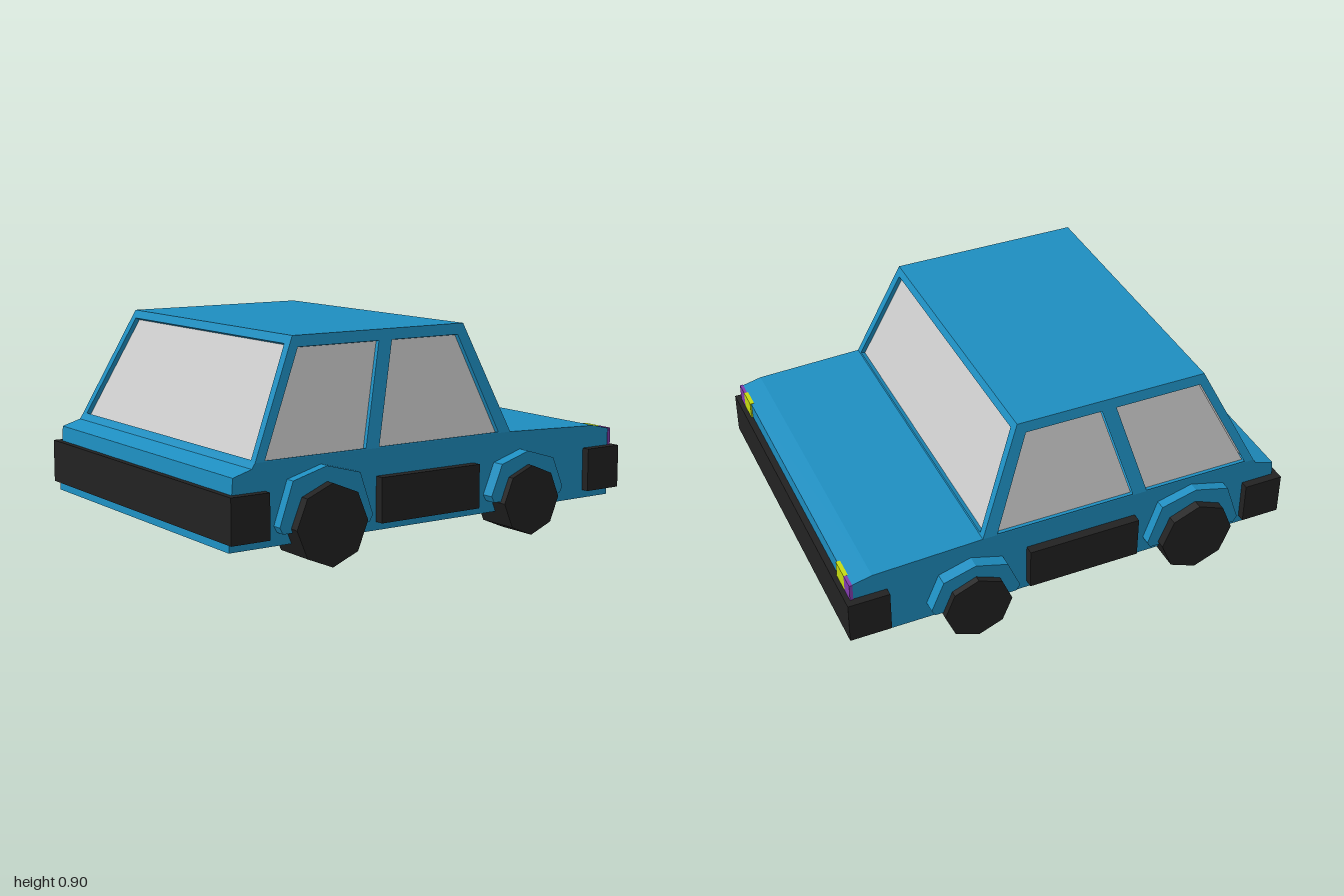
import * as THREE from 'three';

const mat = (color) => new THREE.MeshStandardMaterial({ color, flatShading: true });
const paint = mat(0x1e8ec0), rubber = mat(0x222222), glass = mat(0xcccccc);
const yellow = mat(0xc4dc12), purple = mat(0x823cae);
const BELT = 0.44, ROOF = 0.905;

const toShape = (pts) => new THREE.Shape(pts.map(([x, y]) => new THREE.Vector2(x, y)));

function add(parent, name, geometry, material) {
  const mesh = new THREE.Mesh(geometry, material);
  mesh.name = name;
  parent.add(mesh);
  return mesh;
}

// Box given by its limits
function box(parent, name, material, [x0, x1], [y0, y1], [z0, z1]) {
  const g = new THREE.BoxGeometry(x1 - x0, y1 - y0, z1 - z0);
  g.translate((x0 + x1) / 2, (y0 + y1) / 2, (z0 + z1) / 2);
  return add(parent, name, g, material);
}

// Extrusion along z between two depths
function slab(pts, z0, z1, holes = []) {
  const shape = toShape(pts);
  shape.holes = holes.map((h) => new THREE.Path(toShape(h).getPoints()));
  const g = new THREE.ExtrudeGeometry(shape, { depth: z1 - z0, bevelEnabled: false });
  return g.translate(0, 0, z0);
}

// Leaning cabin wall with window openings and recessed panes
function cabinWall(parent, name, outline, windows, distance, topDistance, angle) {
  const lean = (distance - topDistance) / (ROOF - BELT);
  const stretch = Math.hypot(1, lean);
  const flat = (pts) => pts.map(([u, y]) => [u, (y - BELT) * stretch]);
  const place = (g) => g.rotateX(-Math.atan(lean)).translate(0, BELT, distance).rotateY(angle);
  const holes = windows.map(flat);
  add(parent, name + 'Frame', place(slab(flat(outline), -0.03, 0, holes)), paint);
  holes.forEach((h) => add(parent, name + 'Window', place(slab(h, -0.03, -0.02)), glass));
}

export function createModel() {
  const car = new THREE.Group();
  car.name = 'car';

  // Lower body
  add(car, 'body', slab([
    [-0.99, 0.105], [0.967, 0.105], [0.973, 0.4], [0.88, 0.422], [0.4, BELT],
    [-0.87, BELT], [-0.885, 0.418], [-0.97, 0.393],
  ], -0.735, 0.735), paint);

  // Cabin
  const cabin = new THREE.Group();
  cabin.name = 'cabin';
  car.add(cabin);
  box(cabin, 'roof', paint, [-0.64, 0.21], [ROOF - 0.03, ROOF], [-0.645, 0.645]);
  const sideOutline = [[-0.87, BELT], [0.4, BELT], [0.21, ROOF], [-0.64, ROOF]];
  const sideWindows = [
    [[-0.825, 0.445], [-0.35, 0.445], [-0.23, 0.86], [-0.62, 0.86]],
    [[-0.285, 0.445], [0.335, 0.445], [0.175, 0.86], [-0.165, 0.86]],
  ];
  const flip = (pts) => pts.map(([x, y]) => [-x, y]);
  cabinWall(cabin, 'leftSide', sideOutline, sideWindows, 0.735, 0.645, 0);
  cabinWall(cabin, 'rightSide', flip(sideOutline), sideWindows.map(flip), 0.735, 0.645, Math.PI);
  const endOutline = [[-0.735, BELT], [0.735, BELT], [0.645, ROOF], [-0.645, ROOF]];
  const endWindow = [[-0.7, 0.447], [0.7, 0.447], [0.612, 0.872], [-0.612, 0.872]];
  cabinWall(cabin, 'front', endOutline, [endWindow], 0.4, 0.21, Math.PI / 2);
  cabinWall(cabin, 'rear', endOutline, [endWindow], 0.87, 0.64, -Math.PI / 2);

  // Bumpers
  box(car, 'frontBumper', rubber, [0.82, 1], [0.14, 0.327], [-0.77, 0.77]);
  box(car, 'rearBumper', rubber, [-1, -0.825], [0.14, 0.327], [-0.77, 0.77]);

  // Wheels and arches: x, y, radius, arch half width, arch top
  const axles = [
    ['front', 0.455, 0.152, 0.15, 0.198, 0.36, 0.79],
    ['rear', -0.567, 0.175, 0.168, 0.22, 0.405, 0.778],
  ];
  for (const s of [1, -1]) {
    const span = (a, b) => (s > 0 ? [a, b] : [-b, -a]);
    for (const [name, x, y, r, w, top, out] of axles) {
      const wheel = new THREE.CylinderGeometry(r, r, 0.19, 8).rotateX(Math.PI / 2);
      add(car, name + 'Wheel', wheel, rubber).position.set(x, y, s * 0.723);
      const shoulder = top - 0.043, foot = 0.185;
      const arch = [
        [x - w + 0.015, 0.158], [x + w - 0.015, 0.158], [x + w, foot], [x + w * 0.72, shoulder],
        [x, top], [x - w * 0.72, shoulder], [x - w, foot],
      ];
      add(car, name + 'WheelArch', slab(arch, ...span(0.7, out)), paint);
    }
    // Side guards and front lamps
    box(car, 'sideGuard', rubber, [-0.3, 0.203], [0.14, 0.327], span(0.7, 0.775));
    box(car, 'headlamp', yellow, [0.94, 0.979], [0.32, 0.403], span(0.58, 0.673));
    box(car, 'indicator', purple, [0.965, 0.979], [0.32, 0.403], span(0.673, 0.738));
  }
  return car;
}
